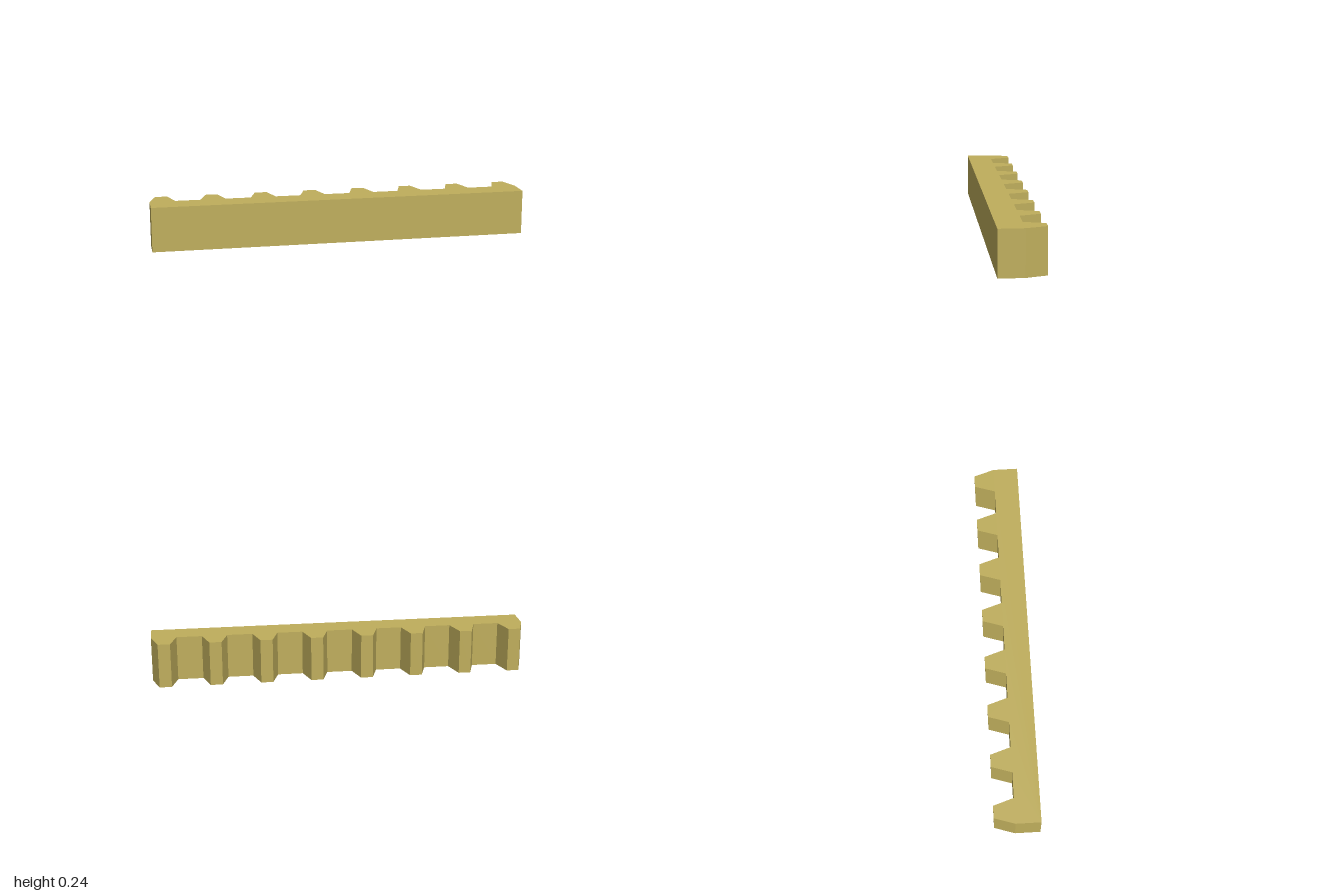
import * as THREE from 'three';

export function createModel() {
  const brass = new THREE.MeshStandardMaterial({ color: 0xbfae5c });
  brass.name = 'brass';

  const teeth = 8, pitch = 2 / 7.5, height = 0.237;
  const front = -0.12, root = 0.012, tip = 0.12; // profile y becomes -z
  const rootHalf = pitch / 4, tipHalf = 0.032;

  // Rack outline: straight front edge, trapezoid teeth along the back
  const outline = [new THREE.Vector2(-1, front), new THREE.Vector2(1, front)];
  for (let i = teeth - 1; i >= 0; i--) {
    const x = (i - (teeth - 1) / 2) * pitch;
    outline.push(
      new THREE.Vector2(x + rootHalf, root),
      new THREE.Vector2(x + tipHalf, tip),
      new THREE.Vector2(x - tipHalf, tip),
      new THREE.Vector2(x - rootHalf, root),
    );
  }

  // Extrude upward from the ground
  const geometry = new THREE.ExtrudeGeometry(new THREE.Shape(outline), { depth: height, bevelEnabled: false });
  geometry.rotateX(-Math.PI / 2);

  const rack = new THREE.Mesh(geometry, brass);
  rack.name = 'toothedRack';

  const group = new THREE.Group();
  group.name = 'gearRack';
  group.add(rack);
  return group;
}
